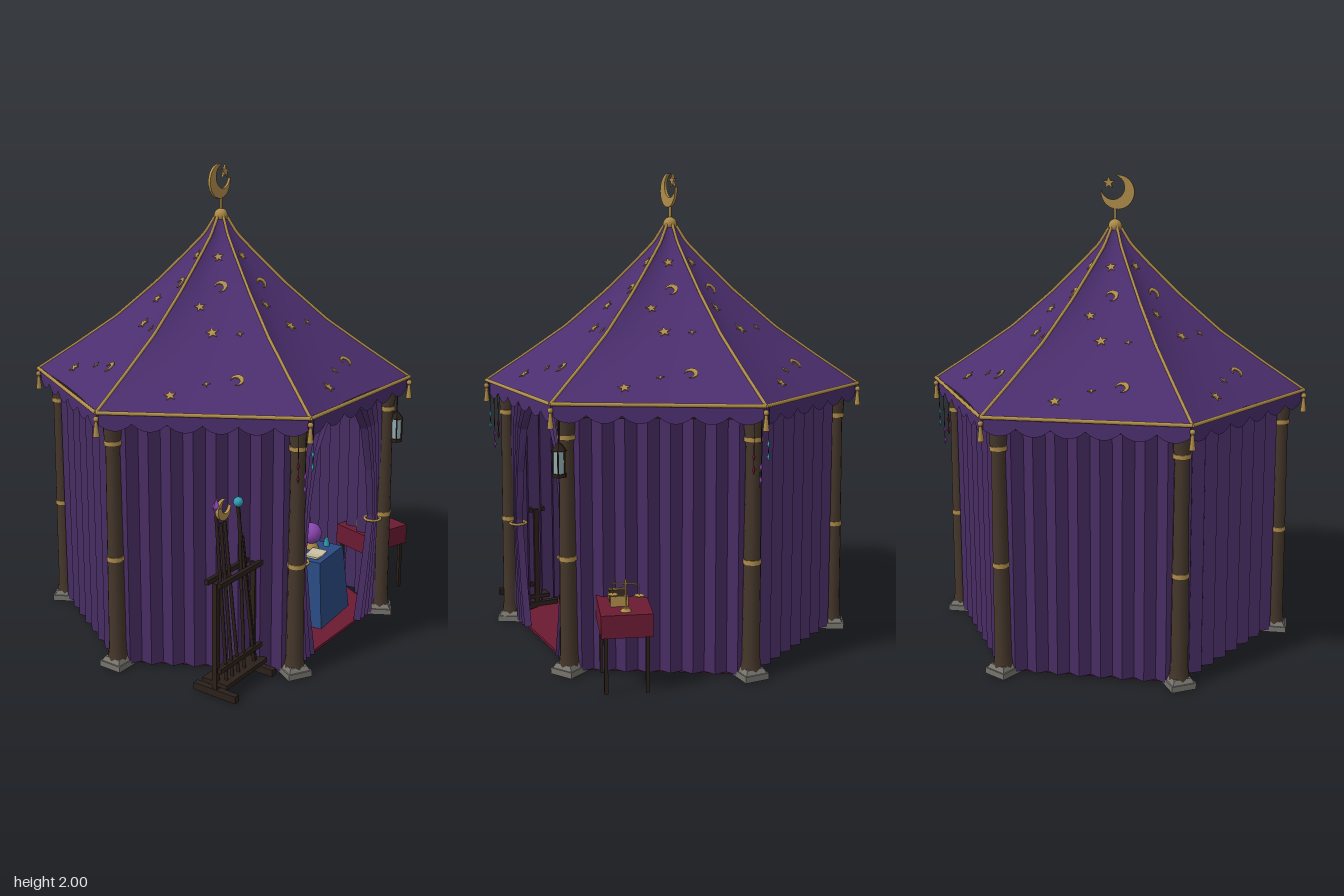
import * as THREE from 'three';

const C = { roof: 0x4b2e6e, wall: 0x472c62, gold: 0xb08d4a, wood: 0x45372b, dark: 0x2b201a, stone: 0x77746d,
  crimson: 0x6b1a32, blue: 0x2a4a82, teal: 0x2f9fb5, violet: 0x8a45b0, green: 0x3f9a45, cream: 0xc9bfa0, glass: 0x8fa9ad };
const cache = {};
const mat = (c, flat) => (cache[c + '_' + !!flat] ??= new THREE.MeshStandardMaterial({ color: c, flatShading: !!flat, side: THREE.DoubleSide }));
const V = (x, y, z) => new THREE.Vector3(x, y, z);

function part(parent, name, geo, color, x = 0, y = 0, z = 0, flat = false) {
  const m = new THREE.Mesh(geo, mat(color, flat));
  m.name = name;
  m.position.set(x, y, z);
  parent.add(m);
  return m;
}
function group(parent, name, x = 0, y = 0, z = 0, ry = 0) {
  const g = new THREE.Group();
  g.name = name;
  g.position.set(x, y, z);
  g.rotation.y = ry;
  parent.add(g);
  return g;
}
const box = (w, h, d) => new THREE.BoxGeometry(w, h, d);
const cyl = (a, b, h, n = 12) => new THREE.CylinderGeometry(a, b, h, n);
const ball = (r) => new THREE.SphereGeometry(r, 16, 12);
function rod(parent, name, a, b, r, color, n = 8) {
  const m = part(parent, name, cyl(r, r, a.distanceTo(b), n), color);
  m.position.copy(a).lerp(b, 0.5);
  m.quaternion.setFromUnitVectors(V(0, 1, 0), b.clone().sub(a).normalize());
  return m;
}
const plate = (shape, d) => new THREE.ExtrudeGeometry(shape, { depth: d, bevelEnabled: false, curveSegments: 10 }).translate(0, 0, -d / 2);
function star(r, points = 5, inner = 0.42) {
  const s = new THREE.Shape();
  for (let i = 0; i < points * 2; i++) {
    const a = Math.PI / 2 + (i * Math.PI) / points, q = i % 2 ? r * inner : r;
    s[i ? 'lineTo' : 'moveTo'](Math.cos(a) * q, Math.sin(a) * q);
  }
  return s;
}
// Crescent open towards +x
function crescent(R, c = 0.4) {
  const a = 0.6, px = Math.cos(a) - c, py = Math.sin(a), b = Math.atan2(py, px);
  const s = new THREE.Shape();
  s.absarc(0, 0, R, a, Math.PI * 2 - a, false);
  s.absarc(c * R, 0, R * Math.hypot(px, py), Math.PI * 2 - b, b, true);
  return s;
}

// Roof profile: corner radius and height, eave to peak
const PROFILE = [[0.82, 1.1], [0.64, 1.22], [0.46, 1.345], [0.28, 1.5], [0.147, 1.63], [0.07, 1.71], [0.02, 1.79]];
function roofRadius(y) {
  let i = 0;
  while (i < PROFILE.length - 2 && y > PROFILE[i + 1][1]) i++;
  const [r0, y0] = PROFILE[i], [r1, y1] = PROFILE[i + 1];
  return r0 + ((r1 - r0) * (y - y0)) / (y1 - y0);
}
// Cloth sags inward between the ridges; u runs -1..1 across a panel
function roofPoint(u, y) {
  const r = roofRadius(y), t = (y - 1.1) / 0.69;
  const sag = 0.02 * (1 - t) + 0.035 * Math.sin(Math.PI * t);
  return V((u * r) / 2, y, 0.866 * r - sag * (1 - u * u));
}
function roofPanel() {
  const ys = PROFILE.map((p) => p[1]).reverse(), g = new THREE.PlaneGeometry(1, 1, 8, ys.length - 1), p = g.attributes.position;
  for (let i = 0; i < p.count; i++) {
    const q = roofPoint(p.getX(i) * 2, ys[Math.floor(i / 9)]);
    p.setXYZ(i, q.x, q.y, q.z);
  }
  g.computeVertexNormals();
  return g;
}
function valance() {
  const s = new THREE.Shape(), n = 6, w = 0.82 / n;
  s.moveTo(-0.41, 1.1);
  s.lineTo(-0.41, 1.055);
  for (let i = 0; i < n; i++) s.quadraticCurveTo(-0.41 + (i + 0.5) * w, 0.995, -0.41 + (i + 1) * w, 1.055);
  s.lineTo(0.41, 1.1);
  return new THREE.ShapeGeometry(s, 8);
}
function pleatedWall() {
  const g = new THREE.PlaneGeometry(0.71, 1.05, 16, 1), p = g.attributes.position;
  for (let i = 0; i < p.count; i++) p.setXYZ(i, p.getX(i), p.getY(i) + 0.535, i % 17 % 2 ? 0.015 : -0.015);
  return g;
}
// Door curtain: inner edge swoops out to the tie, then spreads below
function curtain(side) {
  const edge = [[1.06, 0], [1.03, 0.06], [1, 0.115], [0.9, 0.19], [0.7, 0.245], [0.48, 0.275], [0.2, 0.225], [0.01, 0.18]];
  const g = new THREE.PlaneGeometry(1, 1, 10, edge.length - 1), p = g.attributes.position;
  for (let i = 0; i < p.count; i++) {
    const [y, x] = edge[Math.floor(i / 11)], k = i % 11;
    p.setXYZ(i, side * (0.345 + ((x - 0.345) * k) / 10), y, k % 2 ? 0.016 : -0.012);
  }
  return g;
}

export function createModel() {
  const root = new THREE.Group();
  root.name = 'fortuneTent';

  // Six sides: roof cloth, valance, beam, wall
  const marks = [['star', 0, 1.62, 0.024], ['moon', 0.02, 1.51, 0.026], ['star', -0.06, 1.435, 0.024], ['star', 0, 1.345, 0.028],
    ['spark', 0.115, 1.345, 0.016], ['spark', 0, 1.185, 0.016], ['moon', 0.12, 1.2, 0.027], ['star', -0.135, 1.15, 0.026]];
  for (let k = 0; k < 6; k++) {
    const side = group(root, 'tentSide', 0, 0, 0, (k * Math.PI) / 3);
    part(side, 'roofPanel', roofPanel(), C.roof);
    part(side, 'valance', valance(), C.roof, 0, 0, 0.7);
    rod(side, 'eaveTrim', V(-0.41, 1.1, 0.71), V(0.41, 1.1, 0.71), 0.008, C.gold);
    part(side, 'topBeam', box(0.73, 0.035, 0.03), C.dark, 0, 1.055, 0.63);
    if (k) part(side, 'wall', pleatedWall(), C.wall, 0, 0, 0.625, true);
    for (const [kind, x, y, r] of marks) {
      const u = (2 * x) / roofRadius(y), p = roofPoint(u, y);
      const du = roofPoint(u + 0.05, y).sub(roofPoint(u - 0.05, y)), dy = roofPoint(u, y + 0.015).sub(roofPoint(u, y - 0.015));
      const n = du.cross(dy).normalize();
      const shape = kind === 'moon' ? crescent(r) : kind === 'star' ? star(r) : star(r, 4, 0.3);
      const m = part(side, kind + 'Ornament', plate(shape, 0.004).rotateZ(kind === 'moon' ? -2.4 : 0.2), C.gold);
      m.position.copy(p).addScaledVector(n, 0.005);
      m.quaternion.setFromUnitVectors(V(0, 0, 1), n);
    }
  }

  // Six corners: post, stone foot, bands, ridge trim, tassel
  for (let k = 0; k < 6; k++) {
    const corner = group(root, 'tentCorner', 0, 0, 0, ((k + 0.5) * Math.PI) / 3);
    part(corner, 'footing', box(0.105, 0.025, 0.105), C.stone, 0, 0.0125, 0.727);
    part(corner, 'footingTop', cyl(0.052, 0.066, 0.018, 4).rotateY(Math.PI / 4), C.stone, 0, 0.034, 0.727, true);
    part(corner, 'post', new THREE.LatheGeometry([[0.043, 0.03], [0.036, 0.08], [0.033, 0.5], [0.029, 0.93], [0.036, 1.0], [0.036, 1.1]]
      .map((p) => new THREE.Vector2(...p)), 12), C.wood, 0, 0, 0.727);
    for (const y of [0.475, 0.96]) part(corner, 'postBand', cyl(0.036, 0.036, 0.018), C.gold, 0, y, 0.727);
    const path = new THREE.CurvePath();
    for (let i = 1; i < PROFILE.length; i++) path.add(new THREE.LineCurve3(V(0, PROFILE[i - 1][1], PROFILE[i - 1][0]), V(0, PROFILE[i][1], PROFILE[i][0])));
    part(corner, 'ridgeTrim', new THREE.TubeGeometry(path, 40, 0.007, 6), C.gold);
    part(corner, 'tasselKnot', ball(0.011), C.gold, 0, 1.075, 0.82);
    part(corner, 'tassel', cyl(0.006, 0.013, 0.06, 8), C.gold, 0, 1.035, 0.82);
  }

  // Finial
  part(root, 'finialBall', ball(0.03), C.gold, 0, 1.785, 0);
  part(root, 'finialCollar', cyl(0.02, 0.032, 0.03), C.gold, 0, 1.75, 0);
  rod(root, 'finialRod', V(0, 1.8, 0), V(0, 1.88, 0), 0.006, C.gold);
  part(root, 'finialMoon', plate(crescent(0.072), 0.012).rotateZ(0.75), C.gold, -0.012, 1.928, 0);
  part(root, 'finialStar', plate(star(0.028), 0.01), C.gold, 0.027, 1.967, 0);

  // Floor and rugs
  const hex = (r, h) => new THREE.CylinderGeometry(r, r, h, 6, 1, false, Math.PI / 6);
  part(root, 'floor', hex(0.7, 0.012), C.crimson, 0, 0.008, 0, true);
  part(root, 'rug', hex(0.48, 0.004), C.wall, 0, 0.016, 0, true);
  part(root, 'rugCentre', hex(0.26, 0.004), C.crimson, 0, 0.019, 0, true);

  // Door curtains with ties
  for (const s of [-1, 1]) {
    part(root, 'doorCurtain', curtain(s), C.wall, 0, 0, 0.61, true);
    part(root, 'curtainTie', new THREE.TorusGeometry(0.036, 0.006, 6, 16).rotateX(Math.PI / 2), C.gold, s * 0.305, 0.46, 0.61);
  }

  // Back shelves with books and bottles
  const shelf = group(root, 'shelves', 0, 0, -0.5);
  for (const y of [0.26, 0.48]) part(shelf, 'shelfBoard', box(0.57, 0.016, 0.1), C.dark, 0, y, 0);
  for (const x of [-0.275, 0.275]) part(shelf, 'shelfUpright', box(0.018, 0.48, 0.09), C.dark, x, 0.25, 0);
  const bookColors = [0x6d6250, C.crimson, 0x3a4a6b, 0x8a7a58, C.wall, 0x4f5a48];
  for (let i = 0; i < 17; i++) part(shelf, 'book', box(0.026, 0.07 + ((i * 7) % 5) * 0.007, 0.07), bookColors[(i * 5 + (i >> 2)) % 6], -0.24 + i * 0.03, 0.268 + 0.035 + ((i * 7) % 5) * 0.0035, 0);
  [[-0.195, C.blue], [-0.1, C.violet], [0.02, C.teal], [0.115, C.green], [0.2, C.teal]].forEach(([x, c]) => {
    part(shelf, 'bottle', cyl(0.015, 0.017, 0.035), c, x, 0.505, 0);
    part(shelf, 'bottleNeck', cyl(0.007, 0.01, 0.025), c, x, 0.533, 0);
  });

  // Chest and cushions
  const chest = group(root, 'chest', -0.14, 0, -0.3);
  part(chest, 'chestBody', box(0.11, 0.085, 0.08), C.dark, 0, 0.06, 0);
  part(chest, 'chestLid', new THREE.CylinderGeometry(0.045, 0.045, 0.11, 12, 1, false, 0, Math.PI).rotateZ(Math.PI / 2), C.wood, 0, 0.1, 0);
  part(chest, 'chestLock', box(0.02, 0.03, 0.01), C.gold, 0, 0.1, 0.045);
  for (const [x, z, c] of [[-0.24, -0.12, C.crimson], [0.16, 0.08, C.crimson], [-0.33, 0.02, C.violet]])
    part(root, 'cushion', ball(0.08).scale(1, 0.4, 1), c, x, 0.045, z);

  // Reading table with crystal ball, open book and hanging lamp
  const table = group(root, 'readingTable', 0.14, 0, 0.38, 0.08);
  part(table, 'tablecloth', cyl(0.165, 0.2, 0.295, 4).rotateY(Math.PI / 4), C.blue, 0, 0.163, 0, true);
  part(table, 'ballStand', cyl(0.022, 0.035, 0.03), C.gold, 0.03, 0.325, 0);
  part(table, 'crystalBall', ball(0.047), C.violet, 0.03, 0.378, 0);
  for (const s of [-1, 1]) part(table, 'openPage', box(0.05, 0.008, 0.07), C.cream, -0.05 + s * 0.025, 0.318, 0.06).rotation.z = s * 0.12;
  part(table, 'potion', cyl(0.01, 0.014, 0.035), C.teal, 0.085, 0.328, 0.05);
  rod(root, 'lampCord', V(0.145, 0.86, 0.3), V(0.145, 1.3, 0.3), 0.003, C.dark);
  part(root, 'lampShade', cyl(0.033, 0.043, 0.05), C.gold, 0.145, 0.84, 0.3);
  part(root, 'lampGlass', cyl(0.025, 0.018, 0.04), C.cream, 0.145, 0.79, 0.3);

  // Outdoor stall with box and scales
  const stall = group(root, 'sideStall', 0.56, 0, 0.475, -0.32);
  part(stall, 'stallCloth', box(0.26, 0.09, 0.2), C.crimson, 0, 0.275, 0);
  for (const x of [-0.11, 0.11]) for (const z of [-0.08, 0.08]) part(stall, 'stallLeg', box(0.015, 0.25, 0.015), C.dark, x, 0.13, z);
  part(stall, 'trinketBox', box(0.1, 0.035, 0.065), C.dark, -0.03, 0.338, 0.02);
  for (const x of [-0.08, 0.02]) part(stall, 'boxBand', box(0.014, 0.04, 0.07), C.gold, x, 0.34, 0.02);
  const scales = group(stall, 'scales', 0.08, 0, 0, 0.9);
  part(scales, 'scaleFoot', cyl(0.012, 0.022, 0.012), C.gold, 0, 0.326, 0);
  rod(scales, 'scaleStem', V(0, 0.32, 0), V(0, 0.445, 0), 0.004, C.gold);
  rod(scales, 'scaleBeam', V(-0.06, 0.42, 0), V(0.06, 0.435, 0), 0.003, C.gold);
  for (const s of [-1, 1]) {
    rod(scales, 'panCord', V(s * 0.06, 0.428, 0), V(s * 0.06, 0.385 + s * 0.008, 0), 0.0015, C.gold);
    part(scales, 'scalePan', cyl(0.02, 0.012, 0.008), C.gold, s * 0.06, 0.38 + s * 0.008, 0);
  }

  // Staff rack
  const rack = group(root, 'staffRack', -0.57, 0, 0.48);
  for (const x of [-0.13, 0.13]) {
    part(rack, 'rackFoot', box(0.026, 0.03, 0.2), C.dark, x, 0.02, 0);
    part(rack, 'rackUpright', box(0.022, 0.46, 0.022), C.dark, x, 0.25, 0);
  }
  part(rack, 'rackTray', box(0.28, 0.018, 0.12), C.dark, 0, 0.06, 0);
  for (const [y, z] of [[0.125, 0.03], [0.48, 0.03], [0.48, -0.03]]) part(rack, 'rackRail', box(0.3, 0.02, 0.016), C.dark, 0, y, z);
  [[-0.1, -0.1, 0.74], [-0.06, -0.07, 0.7], [-0.02, -0.045, 0.7], [0.02, 0.05, 0.72], [0.09, 0.04, 0.75], [0.1, 0.075, 0.6]].forEach(([x0, x1, h]) =>
    rod(rack, 'staff', V(x0, 0.06, 0.03), V(x1, h, -0.02), 0.007, C.dark));
  part(rack, 'staffCrystal', new THREE.OctahedronGeometry(0.024).scale(0.8, 1.6, 0.8), C.violet, -0.1, 0.77, -0.02, true);
  part(rack, 'staffMoon', plate(crescent(0.042), 0.014).rotateZ(0.8), C.gold, -0.068, 0.755, -0.01);
  part(rack, 'staffOrb', ball(0.02), C.teal, 0.046, 0.75, -0.02);

  // Lantern on the front post
  const lantern = group(root, 'lantern', 0.386, 0, 0.668);
  rod(lantern, 'lanternHook', V(0, 0.93, 0), V(0, 1.06, 0), 0.003, C.dark);
  part(lantern, 'lanternCap', cyl(0.008, 0.033, 0.03, 6), C.dark, 0, 0.927, 0, true);
  part(lantern, 'lanternGlass', cyl(0.024, 0.024, 0.09, 6), C.glass, 0, 0.867, 0, true);
  part(lantern, 'lanternBase', cyl(0.031, 0.031, 0.014, 6), C.dark, 0, 0.816, 0, true);
  for (let i = 0; i < 6; i++) part(lantern, 'lanternBar', box(0.005, 0.1, 0.005), C.dark, 0.027 * Math.sin((i * Math.PI) / 3), 0.867, 0.027 * Math.cos((i * Math.PI) / 3));

  // Hanging charms under two eave corners
  for (const a of [Math.PI / 2, -Math.PI / 6]) {
    const charms = group(root, 'hangingCharms', 0, 0, 0, a);
    [[-0.025, 0.85, C.crimson], [0, 0.81, C.violet], [0.025, 0.9, C.teal]].forEach(([x, y, c], i) => {
      const z = 0.775 + i * 0.012;
      rod(charms, 'charmCord', V(x, 1.1, z), V(x, y, z), 0.0015, C.dark, 4);
      for (const dy of [0, 0.05]) part(charms, 'charm', new THREE.OctahedronGeometry(0.009).scale(0.8, 2.2, 0.8), c, x, y + dy, z, true);
    });
  }
  return root;
}
